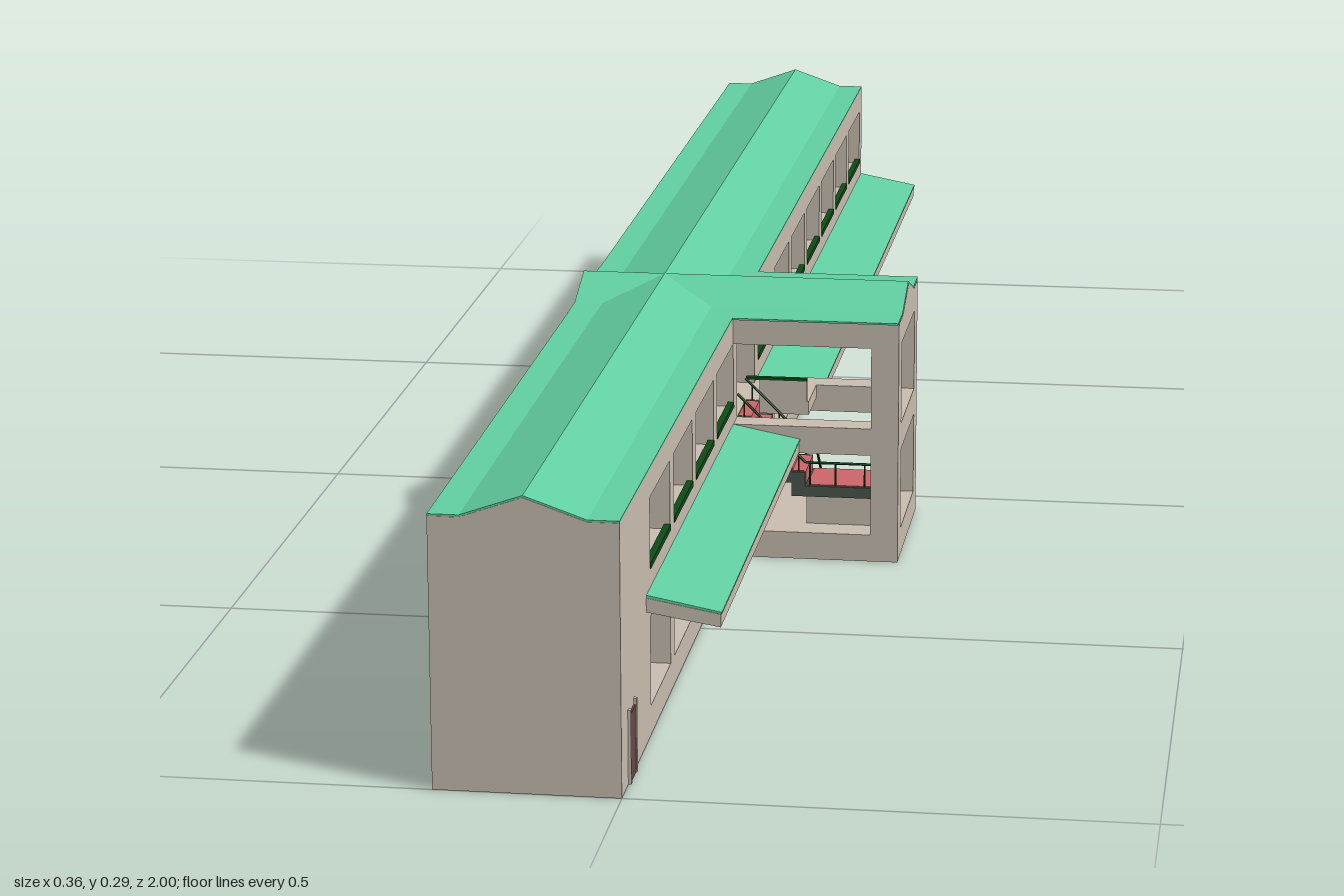
import * as THREE from 'three';

const mat = (color, side = THREE.FrontSide) =>
  new THREE.MeshStandardMaterial({ color, side, flatShading: true });

export function createModel() {
  const model = new THREE.Group();
  const beige = mat(0xcabfb0), green = mat(0x62d0a2, THREE.DoubleSide), brown = mat(0x6b4843);
  const railMat = mat(0x0f4a16), stone = mat(0x4a564e), red = mat(0xcc666c);

  const add = (name, geo, material) => {
    const mesh = new THREE.Mesh(geo, material);
    mesh.name = name;
    model.add(mesh);
    return mesh;
  };
  // Box given by its minimum and maximum on each axis
  const box = (name, m, x0, x1, y0, y1, z0, z1) => {
    const mesh = add(name, new THREE.BoxGeometry(x1 - x0, y1 - y0, z1 - z0), m);
    mesh.position.set((x0 + x1) / 2, (y0 + y1) / 2, (z0 + z1) / 2);
    return mesh;
  };
  const outline = (pts) => new THREE.Shape(pts.map(([a, b]) => new THREE.Vector2(a, b)));
  // Shape in (-z, y) swept along x
  const sweepX = (shape, x0, x1) =>
    new THREE.ExtrudeGeometry(shape, { depth: x1 - x0, bevelEnabled: false })
      .rotateY(Math.PI / 2).translate(x0, 0, 0);
  const sweepZ = (shape, z0, z1) =>
    new THREE.ExtrudeGeometry(shape, { depth: z1 - z0, bevelEnabled: false }).translate(0, 0, z0);
  // Wall across z with rectangular openings [z0, z1, y0, y1]
  const wall = (name, x0, x1, z0, z1, y1, holes) => {
    const s = outline([[-z1, 0], [-z0, 0], [-z0, y1], [-z1, y1]]);
    for (const [a, b, c, d] of holes)
      s.holes.push(outline([[-b, c], [-b, d], [-a, d], [-a, c]]));
    return add(name, sweepX(s, x0, x1), beige);
  };
  // Thin rod between two points
  const rod = (name, a, b, r = 0.0015) => {
    const p = new THREE.Vector3(...a), q = new THREE.Vector3(...b);
    const mesh = add(name, new THREE.CylinderGeometry(r, r, p.distanceTo(q), 6), railMat);
    mesh.position.copy(p).add(q).multiplyScalar(0.5);
    mesh.quaternion.setFromUnitVectors(new THREE.Vector3(0, 1, 0), q.sub(p).normalize());
  };

  // Long block: solid core with a layer of recessed bays on each side
  const eave = 0.268, ridge = 0.291;
  const bays = [];
  for (let i = 0; i < 4; i++) bays.push(0.70 - 0.15 * i);
  for (let i = 0; i < 7; i++) bays.push(-0.075 - 0.15 * i);
  const frontHoles = [[0.08, 0.22, 0.03, 0.12], [0.08, 0.22, 0.15, 0.24]];
  for (const z of bays)
    frontHoles.push([z, z + 0.125, 0.03, 0.12], [z, z + 0.125, 0.17, 0.24]);
  const backHoles = [];
  for (let i = 0; i < 3; i++) {
    const z = -0.975 + 0.15 * i;
    backHoles.push([z, z + 0.125, 0.03, 0.12], [z, z + 0.125, 0.15, 0.24]);
  }
  box('core', beige, -0.12, -0.06, 0, eave, -1, 1);
  wall('balconyWall', -0.06, 0, -1, 1, eave, frontHoles);
  wall('rearWall', -0.18, -0.12, -1, 1, eave, backHoles);

  // Doors and balcony rails
  for (const z of bays) {
    for (const y of [0.03, 0.17])
      box('door', brown, -0.061, -0.057, y, y + 0.046, z + 0.035, z + 0.066);
    box('balconyRail', railMat, -0.006, 0.001, 0.169, 0.175, z, z + 0.125);
  }
  box('stairDoor', brown, -0.061, -0.057, 0.15, 0.213, 0.116, 0.152);
  box('entranceDoor', brown, -0.002, 0.002, 0, 0.068, 0.93, 0.958);
  box('entranceLeaf', beige, 0, 0.003, 0, 0.074, 0.958, 0.963);
  box('entranceLeaf', beige, 0, 0.003, 0, 0.074, 0.925, 0.93);

  // Gabled roofs: beige filling with a thin green sheet over it
  const gable = (c) => [[c - 0.06, eave], [c, ridge - 0.002], [c + 0.06, eave]];
  const sheet = (c, h) => {
    const top = [[c - h, eave], [c - 0.06, eave], [c, ridge - 0.002], [c + 0.06, eave], [c + h, eave]];
    return outline([...top, ...top.map(([a, b]) => [a, b + 0.002]).reverse()]);
  };
  add('mainGable', sweepZ(outline(gable(-0.09)), -1, 1), beige);
  add('mainRoof', sweepZ(sheet(-0.09, 0.09), -0.9995, 0.9995), green);
  add('crossGable', sweepX(outline(gable(-0.15)), -0.18, 0.18), beige);
  add('crossRoof', sweepX(sheet(-0.15, 0.105), -0.1805, 0.1795), green);

  // Sloping canopy along the balcony side, interrupted by the stair tower
  for (const [z0, z1] of [[-1, 0.05], [0.25, 0.85]]) {
    add('canopySlab', sweepZ(outline([[0, 0.133], [0.072, 0.121], [0.072, 0.134], [0, 0.147]]), z0, z1), beige);
    add('canopyCover', sweepZ(outline([[0, 0.147], [0.073, 0.134], [0.073, 0.136], [0, 0.15]]), z0 + 0.0005, z1 - 0.0005), green);
  }

  // Stair tower: open frame of outer wall, side beams and floors
  wall('towerFace', 0.15, 0.18, 0.05, 0.25, eave,
    [[0.08, 0.22, 0.03, 0.12], [0.08, 0.22, 0.15, 0.24]]);
  for (const z of [0.05, 0.22])
    for (const [y0, y1] of [[0.12, 0.15], [0.24, eave]])
      box('towerBeam', beige, 0, 0.15, y0, y1, z, z + 0.03);
  box('towerFloor', beige, 0, 0.15, 0, 0.03, 0.05, 0.25);
  box('towerCeiling', beige, 0, 0.15, 0.258, eave, 0.08, 0.22);
  box('upperFloor', beige, 0, 0.07, 0.135, 0.15, 0.08, 0.15);
  box('upperParapet', beige, 0.015, 0.068, 0.15, 0.173, 0.144, 0.15);
  box('upperRail', railMat, 0, 0.068, 0.173, 0.176, 0.144, 0.15);

  // Upper flight climbing toward the block, with red treads and risers
  for (let i = 0; i < 5; i++) {
    const x = 0.06 - 0.015 * i, y = 0.075 + 0.015 * i;
    box('upperStep', stone, x, x + 0.015, y - 0.013, y + 0.0145, 0.15, 0.22);
    box('upperTread', red, x + 0.0005, x + 0.0155, y + 0.0135, y + 0.015, 0.154, 0.216);
    box('upperRiser', red, x + 0.0145, x + 0.0155, y, y + 0.015, 0.154, 0.216);
  }
  // Landing and the lower flight
  box('landing', stone, 0.06, 0.15, 0.062, 0.074, 0.15, 0.22);
  box('landingTop', red, 0.077, 0.149, 0.074, 0.075, 0.153, 0.217);
  box('landingBase', beige, 0.076, 0.15, 0.03, 0.062, 0.152, 0.215);
  for (let i = 0; i < 3; i++) {
    const z = 0.135 - 0.015 * i, y = 0.06 - 0.015 * i;
    box('lowerStep', stone, 0.076, 0.15, Math.max(0.03, y - 0.025), y, z, z + 0.015);
    box('lowerTread', red, 0.08, 0.146, y, y + 0.001, z, z + 0.015);
  }

  // Stair handrails with posts
  for (const z of [0.153, 0.217]) {
    rod('handrail', [0, 0.175, z], [0.075, 0.1, z]);
    for (let i = 0; i < 3; i++)
      rod('stairPost', [0.0075 + 0.03 * i, 0.135 - 0.03 * i, z], [0.0075 + 0.03 * i, 0.1675 - 0.03 * i, z], 0.001);
  }
  rod('landingRail', [0.075, 0.1, 0.217], [0.15, 0.1, 0.217]);
  for (const x of [0.08, 0.108, 0.14]) rod('landingPost', [x, 0.074, 0.217], [x, 0.1, 0.217], 0.001);
  rod('lowerRail', [0.079, 0.1, 0.153], [0.079, 0.06, 0.108]);
  rod('lowerPost', [0.079, 0.03, 0.108], [0.079, 0.06, 0.108], 0.001);

  return model;
}
